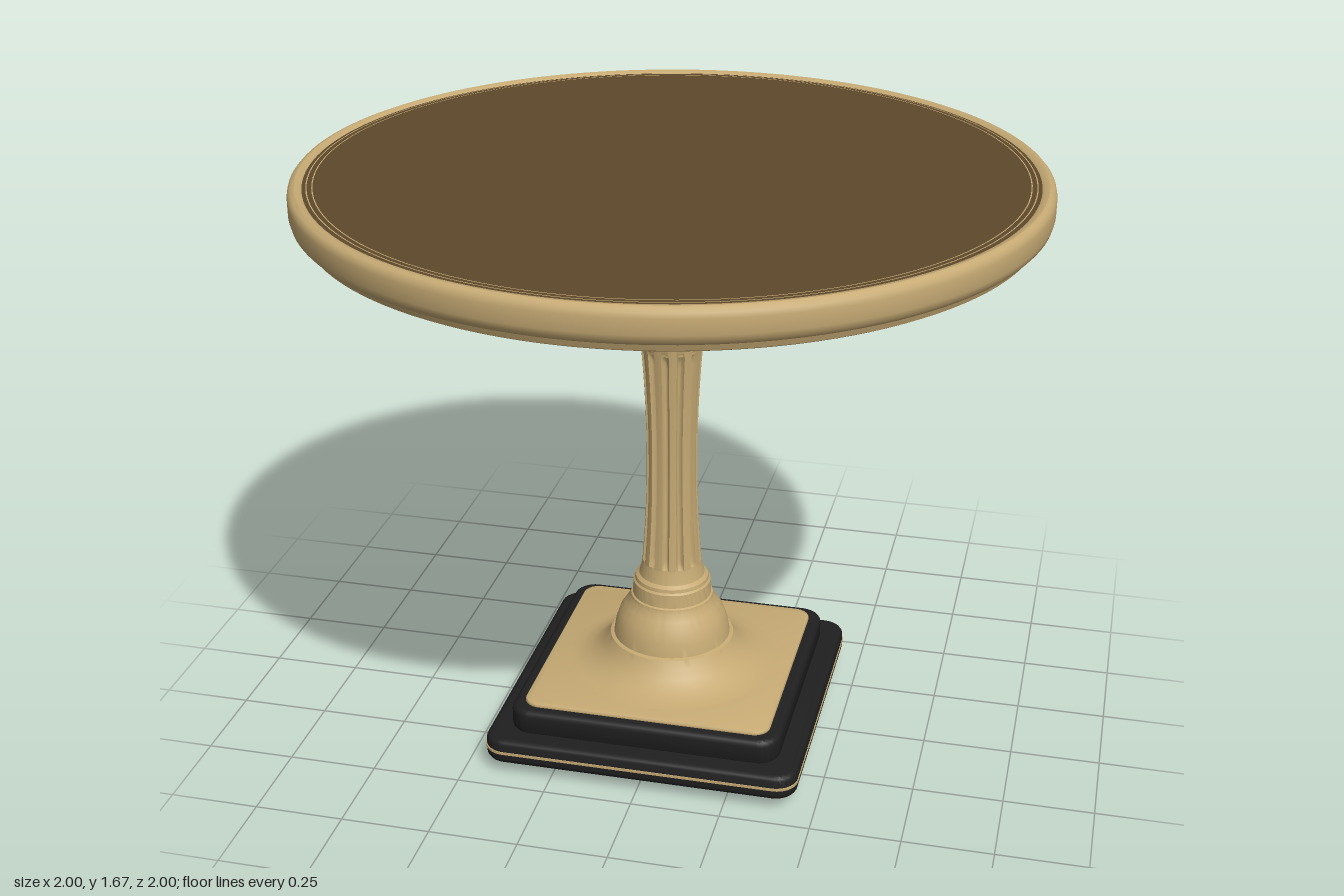
import * as THREE from 'three';
import { toCreasedNormals } from 'three/addons/utils/BufferGeometryUtils.js';

const material = (name, color, side = THREE.FrontSide) =>
  Object.assign(new THREE.MeshStandardMaterial({ color, side }), { name });

// Surface of revolution; profile is [radius, height] from bottom to top
const lathe = (profile, segments = 96, crease = 0.5) =>
  toCreasedNormals(new THREE.LatheGeometry(profile.map(([r, y]) => new THREE.Vector2(r, y)), segments), crease);

// Square slab with rounded corners and softened edges, from y0 to y1
function slab(half, corner, y0, y1, bevel) {
  const h = half - bevel, c = corner;
  const s = new THREE.Shape();
  s.absarc(h - c, h - c, c, 0, Math.PI / 2);
  s.absarc(c - h, h - c, c, Math.PI / 2, Math.PI);
  s.absarc(c - h, c - h, c, Math.PI, Math.PI * 1.5);
  s.absarc(h - c, c - h, c, Math.PI * 1.5, Math.PI * 2);
  const g = new THREE.ExtrudeGeometry(s, {
    depth: y1 - y0 - 2 * bevel, bevelEnabled: bevel > 0, bevelSize: bevel,
    bevelThickness: bevel, bevelSegments: 4, curveSegments: 10,
  });
  g.rotateX(-Math.PI / 2);
  g.translate(0, y0 + bevel, 0);
  return toCreasedNormals(g, 0.6);
}

// Shaft with a slim waist and round-ended flutes cut into it
function flutedShaft(y0, y1, flutes) {
  const rows = 48, profile = [];
  for (let i = 0; i <= rows; i++) {
    const t = i / rows;
    profile.push(new THREE.Vector2(0.071 + 0.016 * (2 * t - 1) ** 2, y0 + t * (y1 - y0)));
  }
  const g = new THREE.LatheGeometry(profile, flutes * 12);
  const p = g.attributes.position;
  for (let i = 0; i < p.count; i++) {
    const x = p.getX(i), y = p.getY(i), z = p.getZ(i);
    const ends = THREE.MathUtils.smoothstep(Math.min(y - y0, y1 - y), 0.015, 0.04);
    const wave = Math.max(0, Math.cos(Math.atan2(x, z) * flutes));
    const k = 1 - 0.17 * ends * Math.sqrt(wave);
    p.setXYZ(i, x * k, y, z * k);
  }
  return toCreasedNormals(g, 0.6);
}

export function createModel() {
  const model = new THREE.Group();
  model.name = 'pedestalTable';
  const wood = material('paleWood', 0xc6aa74);
  const field = material('brownTop', 0x5e492b);
  const under = material('darkUnderside', 0x483c33);
  const black = material('blackBase', 0x1f1f1f);
  const footGrey = material('footGrey', 0x403d3b);
  const add = (name, geometry, mat, x = 0, y = 0, z = 0) => {
    const mesh = new THREE.Mesh(geometry, mat);
    mesh.name = name;
    mesh.position.set(x, y, z);
    model.add(mesh);
    return mesh;
  };

  // Table top: moulded rim, brown field, fine inlay rings, dark underside
  add('topRim', lathe([
    [0.93, 1.55], [0.955, 1.55], [0.966, 1.556], [0.972, 1.572], [0.985, 1.578], [0.996, 1.59],
    [1, 1.605], [1, 1.645], [0.997, 1.658], [0.99, 1.666], [0.98, 1.67], [0.968, 1.668],
    [0.957, 1.66], [0.95, 1.66],
  ], 128), wood);
  add('topField', new THREE.CircleGeometry(0.962, 128).rotateX(-Math.PI / 2), field, 0, 1.663);
  for (const r of [0.933, 0.948])
    add('inlayRing', new THREE.RingGeometry(r, r + 0.003, 128).rotateX(-Math.PI / 2), wood, 0, 1.665);
  add('underside', new THREE.CircleGeometry(0.955, 128).rotateX(Math.PI / 2), under, 0, 1.548);

  // Dark mounting plate under the top
  add('mountingPlate', lathe([
    [0, 1.455], [0.19, 1.455], [0.2, 1.465], [0.232, 1.49], [0.3, 1.532], [0.302, 1.55],
  ]), under);

  // Flared capital with a bead at its neck
  add('capital', lathe([
    [0.083, 1.165], [0.085, 1.19], [0.096, 1.205], [0.112, 1.222], [0.12, 1.232], [0.122, 1.242],
    [0.118, 1.25], [0.114, 1.265], [0.113, 1.29], [0.117, 1.32], [0.127, 1.36], [0.144, 1.4],
    [0.168, 1.432], [0.187, 1.446], [0.195, 1.448], [0.195, 1.457], [0, 1.457],
  ]), wood);

  add('flutedShaft', flutedShaft(0.48, 1.19, 12), wood);

  // Turned foot of the column, spreading onto the square plate
  add('columnFoot', lathe([
    [0.32, 0.184], [0.28, 0.19], [0.24, 0.204], [0.21, 0.227], [0.19, 0.25], [0.178, 0.272],
    [0.168, 0.275], [0.162, 0.31], [0.15, 0.345], [0.134, 0.37], [0.121, 0.39], [0.118, 0.402],
    [0.113, 0.405], [0.111, 0.445], [0.106, 0.45], [0.104, 0.46], [0.094, 0.468], [0.088, 0.49], [0.084, 0.51],
  ]), wood);
  add('woodPlate', slab(0.352, 0.04, 0.17, 0.187, 0.006), wood);

  // Stepped black base with an inlaid band
  add('upperPlinth', slab(0.386, 0.045, 0.1, 0.177, 0.018), black);
  add('lowerPlinth', slab(0.446, 0.045, 0.035, 0.108, 0.018), black);
  add('plinthBand', slab(0.448, 0.063, 0.068, 0.076, 0), wood);

  // Four round feet
  const foot = lathe([[0, 0], [0.05, 0], [0.056, 0.005], [0.057, 0.037]], 32);
  for (const x of [-1, 1]) for (const z of [-1, 1])
    add('foot', foot, footGrey, x * 0.327, 0, z * 0.327);

  return model;
}
